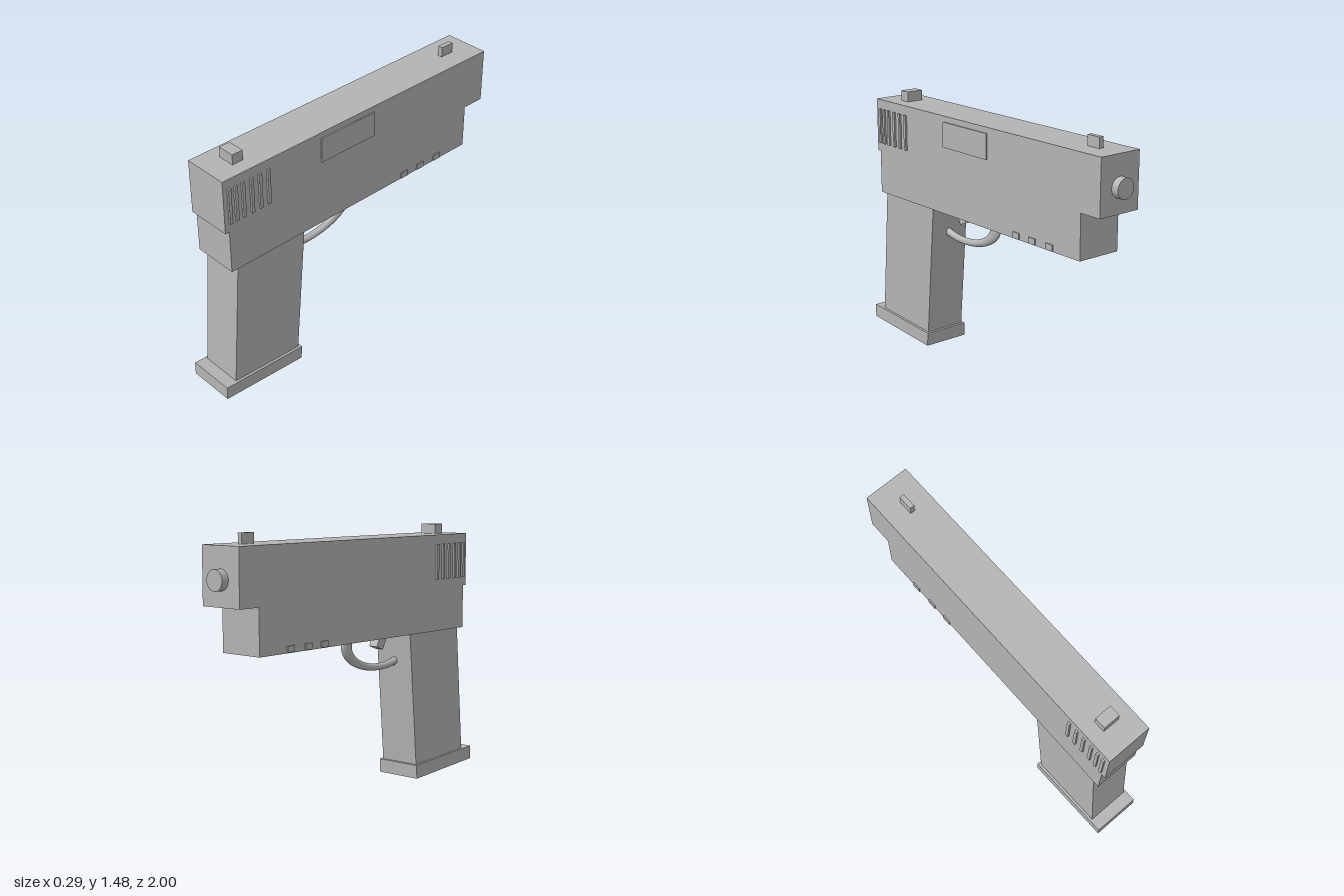
import * as THREE from 'three';

const CX = -0.002; // body centre line

export function createModel() {
  const model = new THREE.Group();
  const grey = new THREE.MeshStandardMaterial({ color: 0xb3b3b3 });
  grey.name = 'grey';

  const add = (name, geometry) => {
    const mesh = new THREE.Mesh(geometry, grey);
    mesh.name = name;
    model.add(mesh);
    return mesh;
  };

  // Box given by its extents on each axis
  const box = (name, [x0, x1], [y0, y1], [z0, z1]) =>
    add(name, new THREE.BoxGeometry(x1 - x0, y1 - y0, z1 - z0)
      .translate((x0 + x1) / 2, (y0 + y1) / 2, (z0 + z1) / 2));

  // Side profile of [z, y] points, extruded across x
  const profile = (name, points, halfWidth) => {
    const shape = new THREE.Shape(points.map(([z, y]) => new THREE.Vector2(-z, y)));
    const g = new THREE.ExtrudeGeometry(shape, { depth: halfWidth * 2, bevelEnabled: false });
    g.translate(0, 0, -halfWidth).rotateY(Math.PI / 2).translate(CX, 0, 0);
    return add(name, g);
  };
  const across = (half) => [CX - half, CX + half];

  // Slide and frame share one outline
  profile('slideAndFrame', [
    [0.935, 1.419], [0.935, 1.108], [0.91, 1.108], [0.91, 0.856],
    [-0.822, 0.856], [-0.822, 1.108], [-0.957, 1.108], [-0.957, 1.419],
  ], 0.132);

  // Raked grip and its slightly tilted base plate
  profile('grip', [[0.861, 0.9], [0.927, 0.08], [0.477, 0.06], [0.406, 0.9]], 0.124);
  profile('basePlate', [[0.998, 0.112], [0.46, 0.08], [0.465, 0], [1.0, 0.034]], 0.139);

  // Trigger
  profile('trigger', [[0.345, 0.9], [0.281, 0.774], [0.227, 0.795], [0.277, 0.9]], 0.028);

  // Trigger guard: oval ring, its upper part buried in the frame
  const guard = new THREE.TorusGeometry(0.1425, 0.02, 20, 72);
  guard.scale(2, 1, 1).rotateY(Math.PI / 2).translate(CX, 0.816, 0.28);
  add('triggerGuard', guard);

  // Muzzle
  const muzzle = new THREE.CylinderGeometry(0.056, 0.056, 0.08, 40);
  muzzle.rotateX(Math.PI / 2).translate(CX, 1.2475, -0.96);
  add('muzzle', muzzle);

  // Sights
  box('rearSight', across(0.05), [1.4, 1.477], [0.735, 0.802]);
  box('frontSight', across(0.014), [1.4, 1.477], [-0.821, -0.735]);

  // Ejection port on one side only
  box('ejectionPort', [0.12, 0.138], [1.242, 1.386], [-0.09, 0.29]);

  // Grip ridges and rail lugs on both sides
  for (const side of [-1, 1]) {
    const outer = (d) => {
      const a = CX + side * 0.12, b = CX + side * d;
      return [Math.min(a, b), Math.max(a, b)];
    };
    for (const z of [0.899, 0.858, 0.812, 0.757, 0.703, 0.648])
      box('slideRidge', outer(0.143), [1.159, 1.365], [z - 0.009, z + 0.009]);
    for (const z of [-0.334, -0.46, -0.595])
      box('railLug', outer(0.139), [0.86, 0.894], [z - 0.026, z + 0.026]);
  }
  return model;
}
